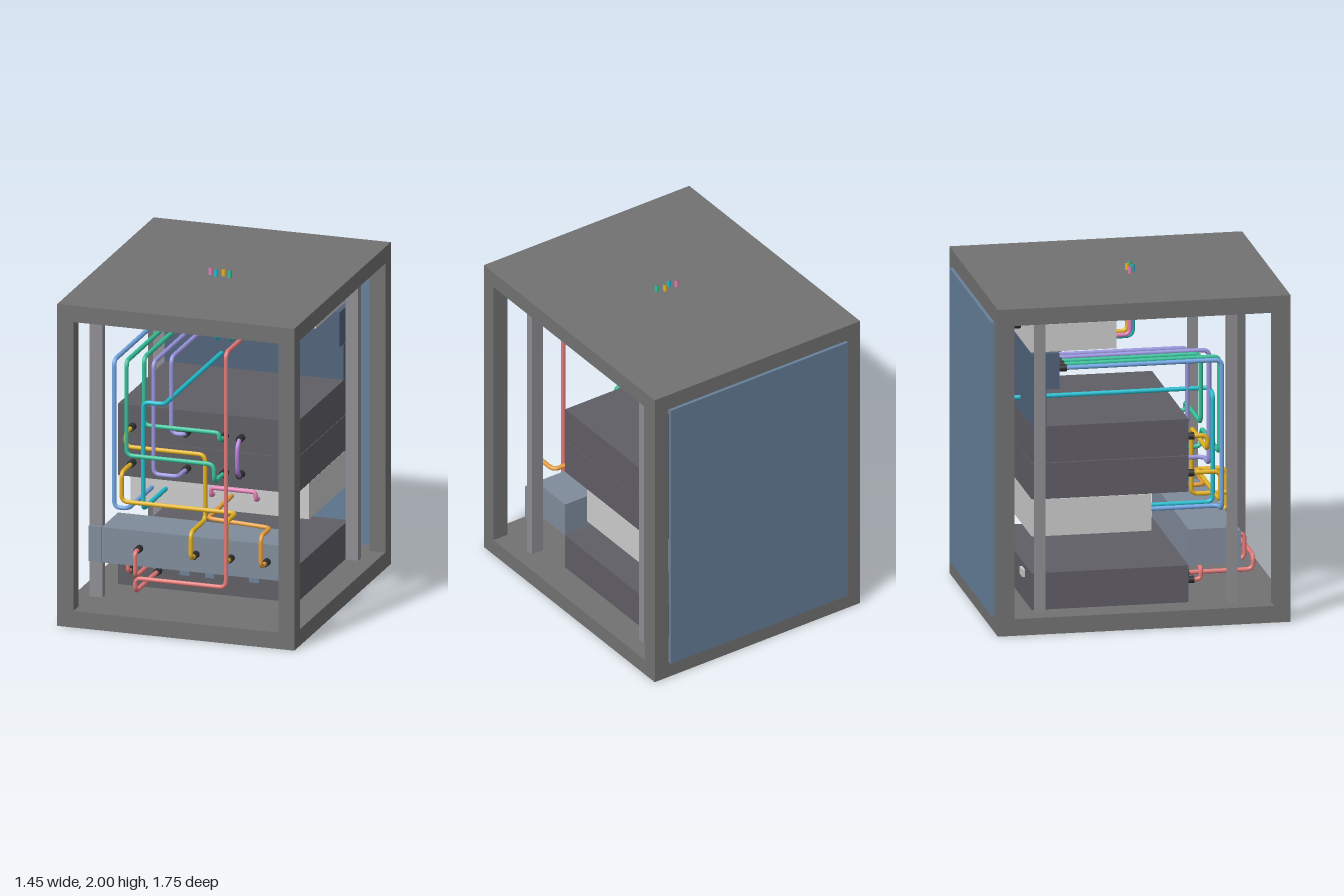
import * as THREE from 'three';

const COL = {
  frame: 0x727272, rail: 0x8e8e93, panel: 0x66809a, dark: 0x605e65, light: 0xcccccc,
  navy: 0x52637b, steel: 0x808c9b, black: 0x303030, port: 0x6c8196,
  blue: 0x74a8e6, green: 0x36c29a, lilac: 0x9b97e0, cyan: 0x22bfd0, yellow: 0xe6b422,
  purple: 0xb07ddb, orange: 0xe8a040, pink: 0xe080b4, red: 0xe67a7a, teal: 0x239086,
};
const mats = {};
const mat = (c) => (mats[c] ??= new THREE.MeshStandardMaterial({ color: COL[c] }));
const V = (p) => new THREE.Vector3(...p);

export function createModel() {
  const root = new THREE.Group();
  const group = (name) => {
    const g = new THREE.Group();
    g.name = name;
    root.add(g);
    return g;
  };
  const add = (parent, name, geo, color) => {
    const m = new THREE.Mesh(geo, mat(color));
    m.name = name;
    parent.add(m);
    return m;
  };
  // box given by its extents
  const box = (parent, name, color, x0, x1, y0, y1, z0, z1) => {
    const m = add(parent, name, new THREE.BoxGeometry(x1 - x0, y1 - y0, z1 - z0), color);
    m.position.set((x0 + x1) / 2, (y0 + y1) / 2, (z0 + z1) / 2);
    return m;
  };

  // cabinet: two slabs, four posts, back panel and cable entry plate
  const cabinet = group('cabinet');
  box(cabinet, 'bottomSlab', 'frame', -0.725, 0.725, 0, 0.1, -0.855, 0.872);
  box(cabinet, 'topSlab', 'frame', -0.725, 0.725, 1.857, 1.957, -0.855, 0.872);
  for (const s of [-1, 1]) {
    const [x0, x1] = s < 0 ? [-0.725, -0.627] : [0.627, 0.725];
    box(cabinet, 'frontPost', 'frame', x0, x1, 0.1, 1.857, 0.775, 0.872);
    box(cabinet, 'backPost', 'frame', x0, x1, 0.1, 1.857, -0.855, -0.757);
    const [r0, r1] = s < 0 ? [-0.627, -0.55] : [0.55, 0.627];
    box(cabinet, 'frontRail', 'rail', r0, r1, 0.1, 1.857, 0.527, 0.578);
    box(cabinet, 'backRail', 'rail', r0, r1, 0.1, 1.857, -0.607, -0.556);
  }
  box(cabinet, 'backPanel', 'panel', -0.625, 0.625, 0.1, 1.857, -0.875, -0.855);
  box(cabinet, 'cableEntryPlate', 'frame', -0.175, 0.17, 1.845, 1.857, -0.01, 0.125);

  // stacked equipment: name, colour, half width, y0, y1, z0, z1
  const units = group('equipment');
  for (const [name, c, w, y0, y1, z0, z1] of [
    ['bottomUnit', 'dark', 0.547, 0.1, 0.32, -0.62, 0.305],
    ['patchUnit', 'steel', 0.547, 0.32, 0.535, 0.305, 0.595],
    ['shallowUnit', 'light', 0.547, 0.54, 0.76, -0.62, 0.085],
    ['lowerServer', 'dark', 0.547, 0.762, 0.976, -0.62, 0.305],
    ['upperServer', 'dark', 0.547, 0.98, 1.197, -0.62, 0.305],
    ['passThroughPanel', 'navy', 0.547, 1.199, 1.415, -0.62, -0.532],
    ['switchUnit', 'navy', 0.547, 1.418, 1.632, -0.62, -0.457],
    ['topUnit', 'light', 0.52, 1.636, 1.8, -0.62, -0.115],
  ]) box(units, name, c, -w, w, y0, y1, z0, z1);
  for (const [x0, x1] of [[-0.627, -0.547], [0.547, 0.627]])
    box(units, 'mountingEar', 'steel', x0, x1, 0.32, 0.535, 0.578, 0.597);
  for (const x of [-0.455, -0.3, -0.14, 0.015, 0.285])
    box(units, 'frontPort', 'port', x - 0.03, x + 0.03, 0.195, 0.225, 0.3, 0.308);
  for (const x of [-0.3, 0.3])
    box(units, 'rearSocket', 'light', x - 0.04, x + 0.04, 0.245, 0.29, -0.635, -0.61);

  // plugs: round black connectors pointing along z
  const plugs = group('plugs');
  const plug = (x, y, z, dir = 1) => {
    const g = new THREE.CylinderGeometry(0.022, 0.022, 0.05, 12).rotateX(Math.PI / 2);
    add(plugs, 'plug', g, 'black').position.set(x, y, z + dir * 0.025);
  };
  const switchX = [-0.5, -0.425, -0.35, -0.27, -0.2];
  const uplinkX = [-0.12, -0.04, 0.03, 0.11];
  for (const x of [...switchX, ...uplinkX]) plug(x, 1.53, -0.457);
  for (const x of [-0.455, -0.12, 0.11, 0.21]) for (const y of [1.07, 0.85]) plug(x, y, 0.305);
  for (const x of [-0.315, 0.03, 0.245, 0.465]) plug(x, 0.43, 0.59);
  for (const x of [-0.455, -0.295]) plug(x, 0.21, 0.305);
  plug(0.26, 1.72, -0.115);
  for (const [x, y] of [[-0.2, 1.72], [0.3, 1.72], [0.3, 1.53], [0.1, 1.53], [0.1, 0.645]])
    plug(x, y, -0.615, -1);

  // cables: straight runs joined by rounded bends
  const cables = group('cables');
  const tube = (name, color, curve) => add(cables, name,
    new THREE.TubeGeometry(curve, Math.ceil(curve.getLength() / 0.012), 0.0135, 8), color);
  const cable = (name, color, pts, bend = 0.04) => {
    const p = pts.map(V), path = new THREE.CurvePath();
    let last = p[0];
    for (let i = 1; i < p.length - 1; i++) {
      const a = p[i - 1].clone().sub(p[i]), b = p[i + 1].clone().sub(p[i]);
      const r = Math.min(bend, a.length() * 0.48, b.length() * 0.48);
      const from = p[i].clone().addScaledVector(a.normalize(), r);
      const to = p[i].clone().addScaledVector(b.normalize(), r);
      path.add(new THREE.LineCurve3(last, from));
      path.add(new THREE.QuadraticBezierCurve3(from, p[i], to));
      last = to;
    }
    path.add(new THREE.LineCurve3(last, p[p.length - 1]));
    tube(name, color, path);
  };

  // network cables from the switch forward and down: colour, x, drop z, turn y, end x, end y, end z
  for (const [c, x, z, turn, ex, ey, ez] of [
    ['blue', -0.5, 0.51, 0.635, -0.415, 0.635, 0.085],
    ['green', -0.425, 0.51, 0.958, 0.11, 0.85, 0.34],
    ['green', -0.35, 0.415, 1.12, 0.11, 1.07, 0.34],
    ['lilac', -0.27, 0.48, 0.85, -0.12, 0.85, 0.34],
    ['lilac', -0.2, 0.365, 1.07, -0.12, 1.07, 0.3],
  ]) {
    const pts = [[x, 1.53, -0.42], [x, 1.53, z], [x, turn, z], [ex, turn, z]];
    if (turn !== ey) pts.push([ex, ey, z]);
    cable('networkCable', c, [...pts, [ex, ey, ez]]);
  }
  cable('throughCable', 'cyan', [[-0.2, 1.72, -0.64], [-0.2, 1.72, -0.79], [-0.2, 1.285, -0.79],
    [-0.2, 1.285, 0.49], [-0.33, 1.285, 0.49], [-0.33, 0.635, 0.49], [-0.33, 0.635, 0.085]]);

  // cables reaching the patch unit
  cable('patchCable', 'yellow', [[-0.455, 1.07, 0.34], [-0.455, 1.07, 0.435], [-0.455, 0.985, 0.435],
    [0.03, 0.985, 0.435], [0.03, 0.59, 0.435], [0.03, 0.59, 0.69], [0.03, 0.43, 0.69], [0.03, 0.43, 0.62]]);
  cable('patchCable', 'yellow', [[-0.455, 0.85, 0.34], [-0.455, 0.85, 0.51], [-0.455, 0.675, 0.51],
    [0.245, 0.675, 0.51], [0.245, 0.675, 0.685], [0.245, 0.43, 0.685], [0.245, 0.43, 0.62]]);
  cable('patchCable', 'orange', [[0.075, 0.635, 0.085], [0.075, 0.63, 0.52], [0.465, 0.618, 0.54],
    [0.465, 0.618, 0.71], [0.465, 0.43, 0.71], [0.465, 0.43, 0.62]]);

  // power cables
  cable('powerCable', 'red', [[0.26, 1.72, -0.08], [0.26, 1.72, 0.735], [0.26, 0.293, 0.735],
    [-0.295, 0.293, 0.735], [-0.295, 0.21, 0.735], [-0.295, 0.21, 0.34]]);
  cable('powerCable', 'red', [[-0.315, 0.43, 0.62], [-0.315, 0.43, 0.68], [-0.315, 0.28, 0.68],
    [-0.315, 0.28, 0.395], [-0.455, 0.28, 0.395], [-0.455, 0.21, 0.395], [-0.455, 0.21, 0.34]]);

  // short links on the front and back
  const bow = (name, c, x, y0, y1, z, out) => tube(name, c, new THREE.CatmullRomCurve3([
    [x, y0, z], [x, y0 - 0.03, z + out * 0.7], [x, (y0 + y1) / 2, z + out],
    [x, y1 + 0.03, z + out * 0.7], [x, y1, z]].map(V)));
  bow('serverLink', 'purple', 0.21, 1.07, 0.85, 0.345, 0.045);
  bow('rearLink', 'teal', 0.3, 1.72, 1.53, -0.65, -0.04);
  cable('frontLink', 'pink', [[-0.04, 0.635, 0.085], [-0.04, 0.635, 0.125], [-0.04, 0.685, 0.125],
    [0.235, 0.685, 0.125], [0.235, 0.635, 0.125], [0.235, 0.635, 0.085]]);
  cable('rearCable', 'pink', [[0.1, 1.53, -0.64], [0.1, 1.53, -0.725], [0.1, 0.645, -0.725], [0.1, 0.645, -0.64]]);

  // uplinks entering through the top
  [['pink', -0.065, 0.055], ['cyan', -0.025, 0.078], ['yellow', 0.015, 0.055], ['green', 0.058, 0.078]]
    .forEach(([c, x, z], i) => {
      const y = z < 0.06 ? 1.59 : 1.572, ex = uplinkX[i];
      cable('uplinkCable', c, [[x, 2, z], [x, y, z], [x, y, -0.12], [ex, y, -0.24],
        [ex, 1.53, -0.38], [ex, 1.53, -0.43]]);
    });

  return root;
}
